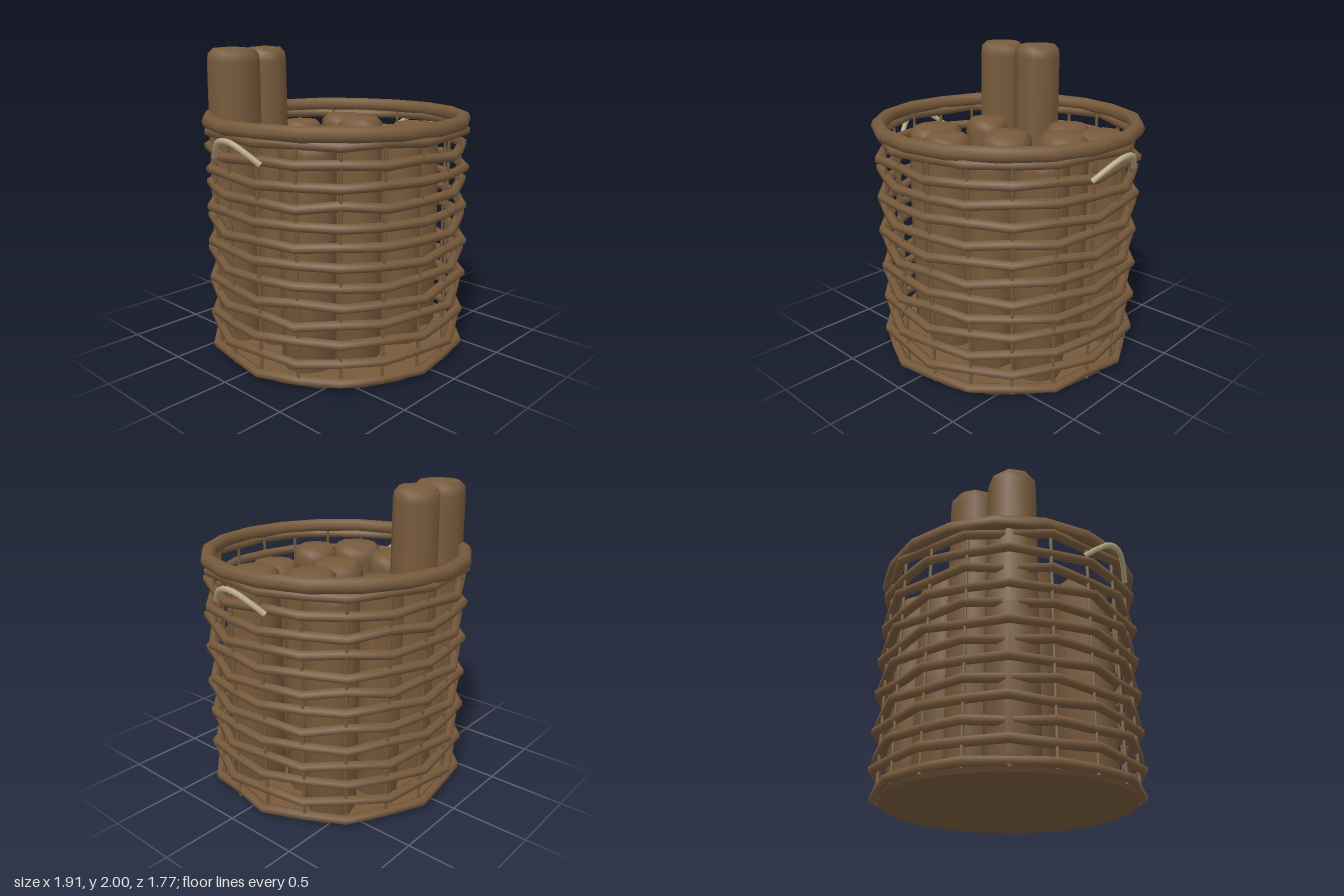
import * as THREE from 'three';

const brown = new THREE.MeshStandardMaterial({ color: 0x775a3c });
brown.name = 'woodBrown';
const cream = new THREE.MeshStandardMaterial({ color: 0xb8aa88 });
cream.name = 'handleCream';

// Small seeded generator, gives -1..1
let seed = 7;
const rand = () => {
  seed = (seed * 16807) % 2147483647;
  return (seed / 2147483647) * 2 - 1;
};

function add(parent, name, geometry, material) {
  const mesh = new THREE.Mesh(geometry, material);
  mesh.name = name;
  parent.add(mesh);
  return mesh;
}

// Closed hoop through count points; radiusAt(i) and heightAt(i) shape it
function hoop(count, radiusAt, heightAt, thickness, sides) {
  const points = [];
  for (let i = 0; i < count; i++) {
    const a = (i + 0.5) / count * Math.PI * 2;
    const r = radiusAt(i);
    points.push(new THREE.Vector3(Math.cos(a) * r, heightAt(i), Math.sin(a) * r));
  }
  const curve = new THREE.CatmullRomCurve3(points, true);
  return new THREE.TubeGeometry(curve, count, thickness, sides, true);
}

// Upright log with a worn, bevelled top and slightly uneven sides
function logGeometry(radius, top) {
  const bottom = 0.03;
  const profile = [[0.0, bottom], [0.97, bottom], [1, top * 0.5], [0.97, top - 0.1],
    [0.93, top - 0.045], [0.72, top - 0.01], [0, top]]
    .map(([r, y]) => new THREE.Vector2(r * radius, y));
  const geometry = new THREE.LatheGeometry(profile, 9, rand() * 3);
  const phase = rand() * 3;
  const p = geometry.attributes.position;
  for (let i = 0; i < p.count; i++) {
    const x = p.getX(i), y = p.getY(i), z = p.getZ(i);
    const k = 1 + 0.05 * Math.sin(2 * Math.atan2(z, x) + phase + y);
    p.setXYZ(i, x * k, y, z * k);
  }
  return geometry;
}

export function createModel() {
  const model = new THREE.Group();
  model.name = 'logBasket';
  const STAKES = 20;

  // Floor of the basket
  add(model, 'base', new THREE.CylinderGeometry(0.83, 0.81, 0.03, STAKES), brown).position.y = 0.015;

  // Upright stakes
  const stakes = new THREE.Group();
  stakes.name = 'stakes';
  model.add(stakes);
  const stakeGeometry = new THREE.CylinderGeometry(0.011, 0.011, 1.5, 5);
  for (let i = 0; i < STAKES; i++) {
    const a = (i + 0.5) / STAKES * Math.PI * 2;
    add(stakes, 'stake', stakeGeometry, brown)
      .position.set(Math.cos(a) * 0.82, 0.77, Math.sin(a) * 0.82);
  }

  // Woven hoops passing in and out of the stakes
  const weave = new THREE.Group();
  weave.name = 'weave';
  model.add(weave);
  for (let row = 0; row < 13; row++) {
    const y = 0.05 + row * 0.1193;
    add(weave, 'weaveHoop', hoop(STAKES,
      (i) => 0.83 + ((i + row) % 2 ? 0.02 : -0.02) + rand() * 0.006,
      () => y + rand() * 0.01, 0.031, 6), brown);
  }

  // Thick rim
  add(model, 'rim', hoop(18, () => 0.838 + rand() * 0.006, () => 1.54 + rand() * 0.003, 0.048, 8), brown);

  // Logs: x, z, radius, top
  const logs = new THREE.Group();
  logs.name = 'logs';
  model.add(logs);
  const layout = [
    [-0.49, -0.46, 0.172, 1.99], [-0.18, -0.5, 0.16, 1.99],
    [0.13, -0.47, 0.16, 1.48], [0.49, -0.38, 0.175, 1.5],
    [0.37, -0.12, 0.17, 1.51], [-0.36, -0.17, 0.15, 1.5],
    [-0.01, 0, 0.178, 1.48], [-0.48, 0.21, 0.185, 1.49],
    [-0.2, 0.36, 0.162, 1.5], [0.2, 0.37, 0.168, 1.46],
    [0.5, 0.26, 0.182, 1.49],
  ];
  for (const [x, z, r, top] of layout) {
    add(logs, 'log', logGeometry(r, top === 1.99 ? 2 : top), brown).position.set(x, 0, z);
  }

  // Arched handles on both sides
  for (const side of [1, -1]) {
    const path = [[0.85, 1.36, -0.21], [0.9, 1.43, -0.13], [0.935, 1.48, -0.05],
      [0.935, 1.48, 0.05], [0.9, 1.43, 0.13], [0.85, 1.36, 0.21]]
      .map(([x, y, z]) => new THREE.Vector3(x * side, y, z));
    add(model, side > 0 ? 'leftHandle' : 'rightHandle',
      new THREE.TubeGeometry(new THREE.CatmullRomCurve3(path), 12, 0.018, 6), cream);
  }
  return model;
}
